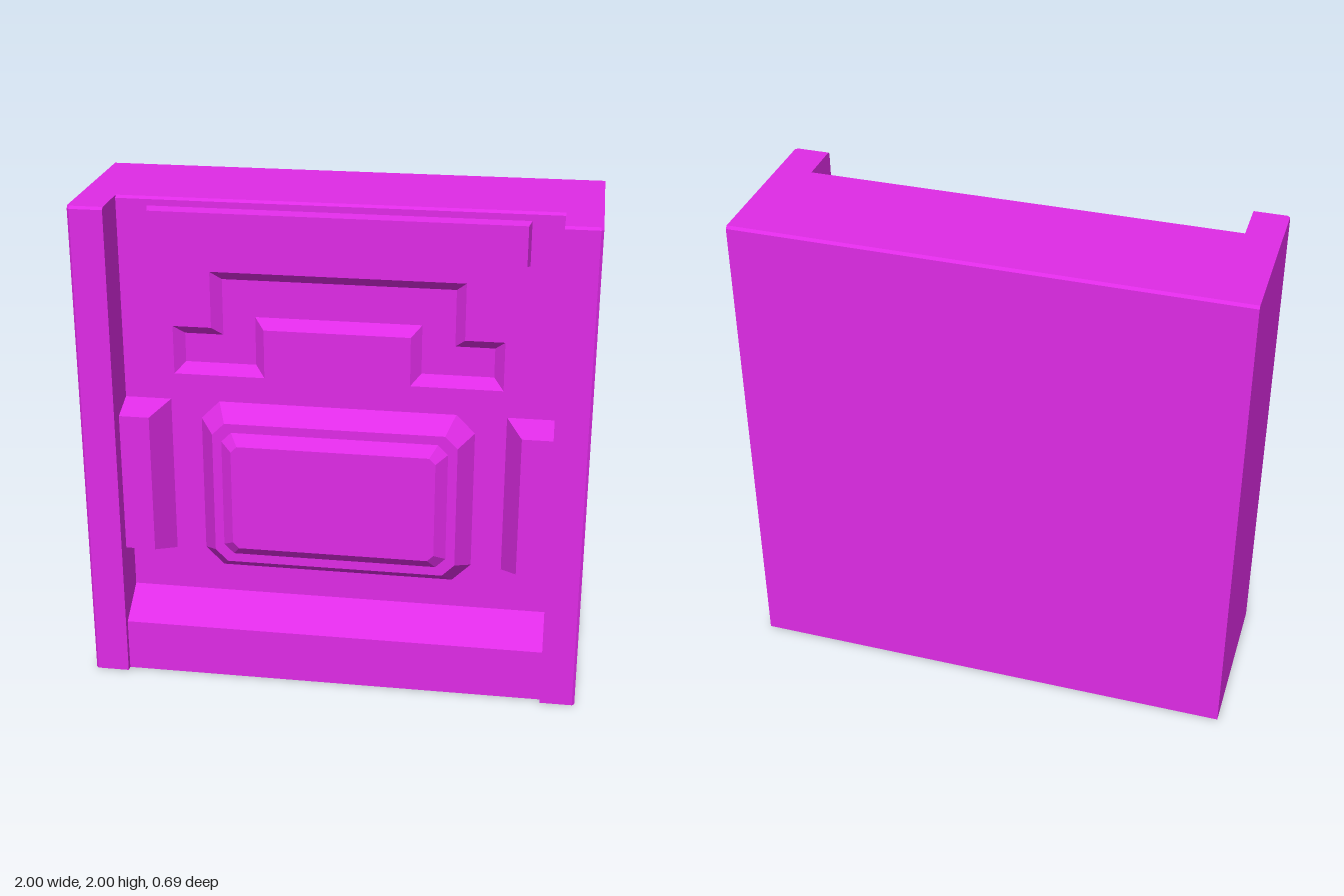
import * as THREE from 'three';

const material = new THREE.MeshStandardMaterial({ color: 0xdf2be6, flatShading: true, side: THREE.DoubleSide });

// Skin a stack of [x, y, z] rings; optionally close each ring and cap the last one.
function loft(rings, { closed = true, cap = true } = {}) {
  const pos = [];
  const n = rings[0].length;
  for (let r = 0; r < rings.length - 1; r++) {
    const a = rings[r], b = rings[r + 1];
    for (let i = 0; i < (closed ? n : n - 1); i++) {
      const j = (i + 1) % n;
      for (const p of [a[i], a[j], b[j], a[i], b[j], b[i]]) pos.push(...p);
    }
  }
  if (cap) {
    const last = rings[rings.length - 1];
    const flat = last.map(p => new THREE.Vector2(p[0], p[1]));
    for (const f of THREE.ShapeUtils.triangulateShape(flat, [])) for (const i of f) pos.push(...last[i]);
  }
  const g = new THREE.BufferGeometry();
  g.setAttribute('position', new THREE.Float32BufferAttribute(pos, 3));
  g.computeVertexNormals();
  return g;
}

const at = (points, z) => points.map(([x, y]) => [x, y, z]);
const mirror = points => points.map(([x, y]) => [-x, y]).reverse();
const vectors = points => points.map(([x, y]) => new THREE.Vector2(x, y));
const rect = (x0, x1, y0, y1) => [[x0, y0], [x1, y0], [x1, y1], [x0, y1]];
// Rectangle with cut corners
const octagon = (w, y0, y1, c) => [
  [-w + c, y0], [w - c, y0], [w, y0 + c], [w, y1 - c],
  [w - c, y1], [-w + c, y1], [-w, y1 - c], [-w, y0 + c]];

export function createModel() {
  const group = new THREE.Group();
  const add = (name, geometry) => {
    const mesh = new THREE.Mesh(geometry, material);
    mesh.name = name;
    group.add(mesh);
  };

  const front = 0.345, panelZ = 0.165, inner = 0.86, top = 2, bevel = 0.01;

  // Plan outline as (x, -z), with the front recess between two pillars
  const plan = [
    [inner, -front], [1 - bevel, -front], [1, -front + bevel], [1, front],
    [-1, front], [-1, -front + bevel], [-1 + bevel, -front], [-inner, -front],
    [-inner, -panelZ], [inner, -panelZ]];
  const planTop = plan.map(([x, v]) => [x, v - Math.sign(v) * bevel]);

  // Outer walls, open at the bottom
  const walls = plan.slice(0, 8);
  add('outerWalls', loft([at(walls, 0), at(walls, top - bevel)], { closed: false, cap: false }).rotateX(-Math.PI / 2));
  add('top', loft([at(plan, top - bevel), at(planTop, top)]).rotateX(-Math.PI / 2));

  // Inner faces of the pillars, following the skirting profile
  for (const s of [-1, 1]) {
    const profile = [[front, 0], [front, top - bevel], [panelZ, top - bevel], [panelZ, 0.32], [0.32, 0.22], [0.32, 0]];
    const cheek = new THREE.ShapeGeometry(new THREE.Shape(vectors(profile.map(([z, y]) => [s * z, y]))));
    add(s > 0 ? 'leftPillarInnerFace' : 'rightPillarInnerFace', cheek.rotateY(-s * Math.PI / 2).translate(s * inner, 0, 0));
  }

  // Skirting with a sloped top
  const skirting = [[0, 0.32], [0.22, 0.32], [0.32, panelZ]].map(([y, z]) => [[-inner, y, z], [inner, y, z]]);
  add('skirting', loft(skirting, { closed: false, cap: false }));

  // Stepped recess outline; d moves it inwards
  const stepped = d => {
    const half = [
      [0.29 + d, 1.48 + d], [0.29 + d, 1.28 + d], [0.655 - d, 1.28 + d],
      [0.655 - d, 1.48 - d], [0.5 - d, 1.48 - d], [0.5 - d, 1.71 - d]];
    return [...half, ...mirror(half)];
  };

  // Front panel with the stepped opening
  const panel = new THREE.Shape(vectors(rect(-inner, inner, 0.32, top - bevel)));
  panel.holes.push(new THREE.Path(vectors(stepped(0))));
  add('frontPanel', new THREE.ShapeGeometry(panel).translate(0, 0, panelZ));
  add('steppedRecess', loft([at(stepped(0), panelZ), at(stepped(0.04), panelZ - 0.04)]));

  // Raised bar near the top
  add('topBar', loft([at(rect(-0.737, 0.737, 1.79, 1.965), panelZ), at(rect(-0.727, 0.727, 1.8, 1.957), 0.21)]));

  // Two-stage raised plate in the centre
  add('centrePlate', loft([
    at(octagon(0.55, 0.44, 1.17, 0.075), panelZ),
    at(octagon(0.49, 0.5, 1.11, 0.05), 0.25),
    at(octagon(0.453, 0.537, 1.073, 0.04), 0.25),
    at(octagon(0.408, 0.582, 1.03, 0.025), 0.29)]));

  // Bevelled blocks against the pillars
  const blockBase = rect(0.673, inner, 0.503, 1.17), blockTop = rect(0.738, inner, 0.545, 1.13);
  add('leftBlock', loft([at(blockBase, panelZ), at(blockTop, 0.28)]));
  add('rightBlock', loft([at(mirror(blockBase), panelZ), at(mirror(blockTop), 0.28)]));

  return group;
}
